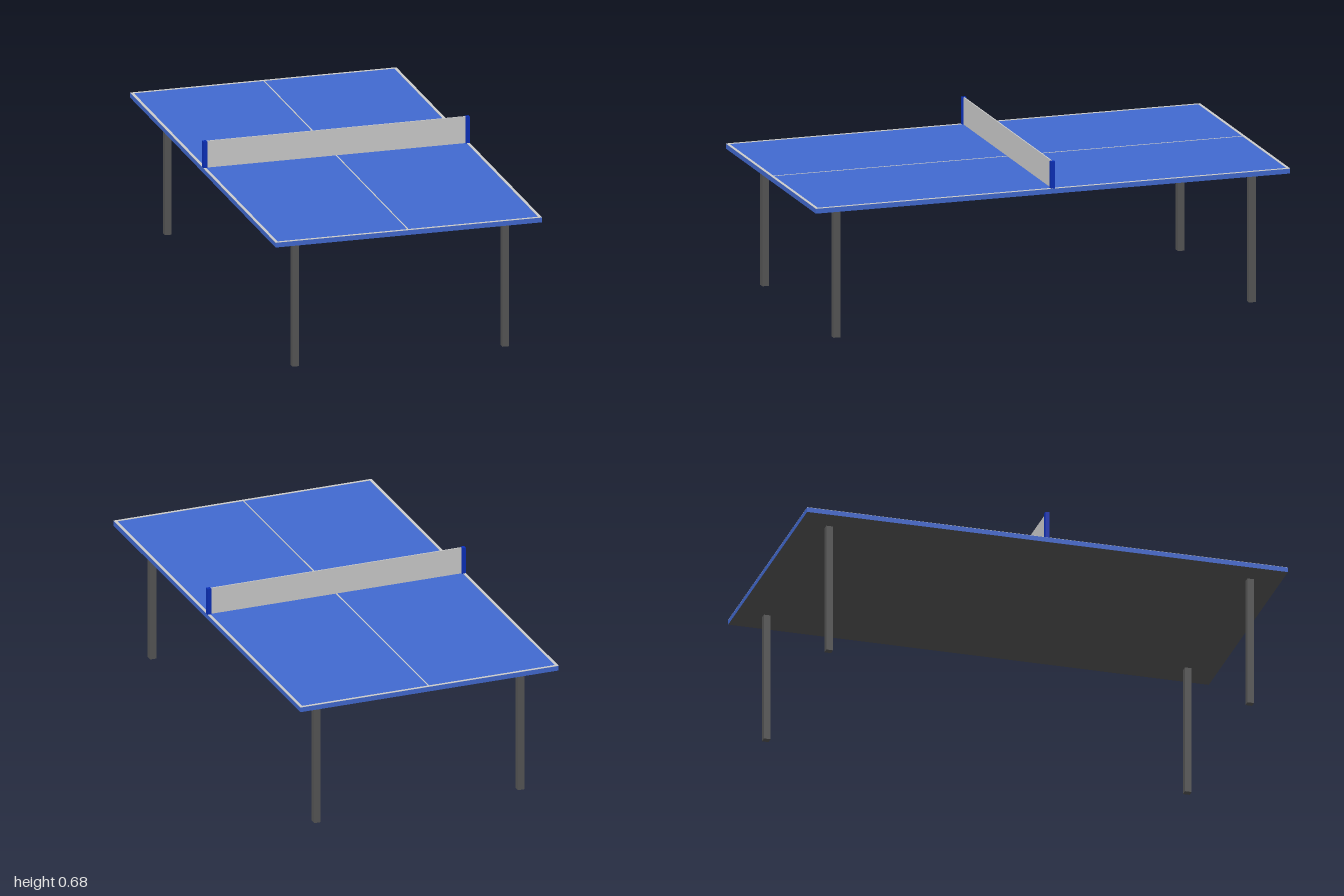
import * as THREE from 'three';

export function createModel() {
  const model = new THREE.Group();
  const mat = (color) => new THREE.MeshStandardMaterial({ color });
  const blue = mat(0x4169d0), postBlue = mat(0x0a2fb8), dark = mat(0x555555), grey = mat(0xcccccc);

  const W = 1.11, L = 2, UNDER = 0.545, TOP = 0.565, NET_TOP = 0.677;

  // Box given by its centre in x and z, and its bottom and top heights
  function box(name, material, w, d, y0, y1, x = 0, z = 0) {
    const mesh = new THREE.Mesh(new THREE.BoxGeometry(w, y1 - y0, d), material);
    mesh.position.set(x, (y0 + y1) / 2, z);
    mesh.name = name;
    model.add(mesh);
    return mesh;
  }

  // Table top: blue with a dark underside (fourth box face)
  box('tableTop', [blue, blue, blue, dark, blue, blue], W, L, UNDER, TOP);

  // Painted lines: border and lengthwise centre line
  const line = 0.012, lineTop = TOP + 0.001;
  for (const s of [-1, 1]) {
    box('sideLine', grey, line, L, TOP, lineTop, s * (W - line) / 2, 0);
    box('endLine', grey, W - 2 * line, line, TOP, lineTop, 0, s * (L - line) / 2);
  }
  box('centreLine', grey, 0.005, L - 2 * line, TOP, lineTop);

  // Net between two posts
  const post = 0.016;
  box('net', grey, W - 2 * post, 0.005, TOP, NET_TOP);
  for (const s of [-1, 1]) {
    box('netPost', postBlue, post, 0.018, TOP, NET_TOP, s * (W - post) / 2, 0);
  }

  // Four square legs
  for (const sx of [-1, 1]) {
    for (const sz of [-1, 1]) {
      box('leg', dark, 0.028, 0.028, 0, UNDER, sx * 0.438, sz * 0.876);
    }
  }

  return model;
}
